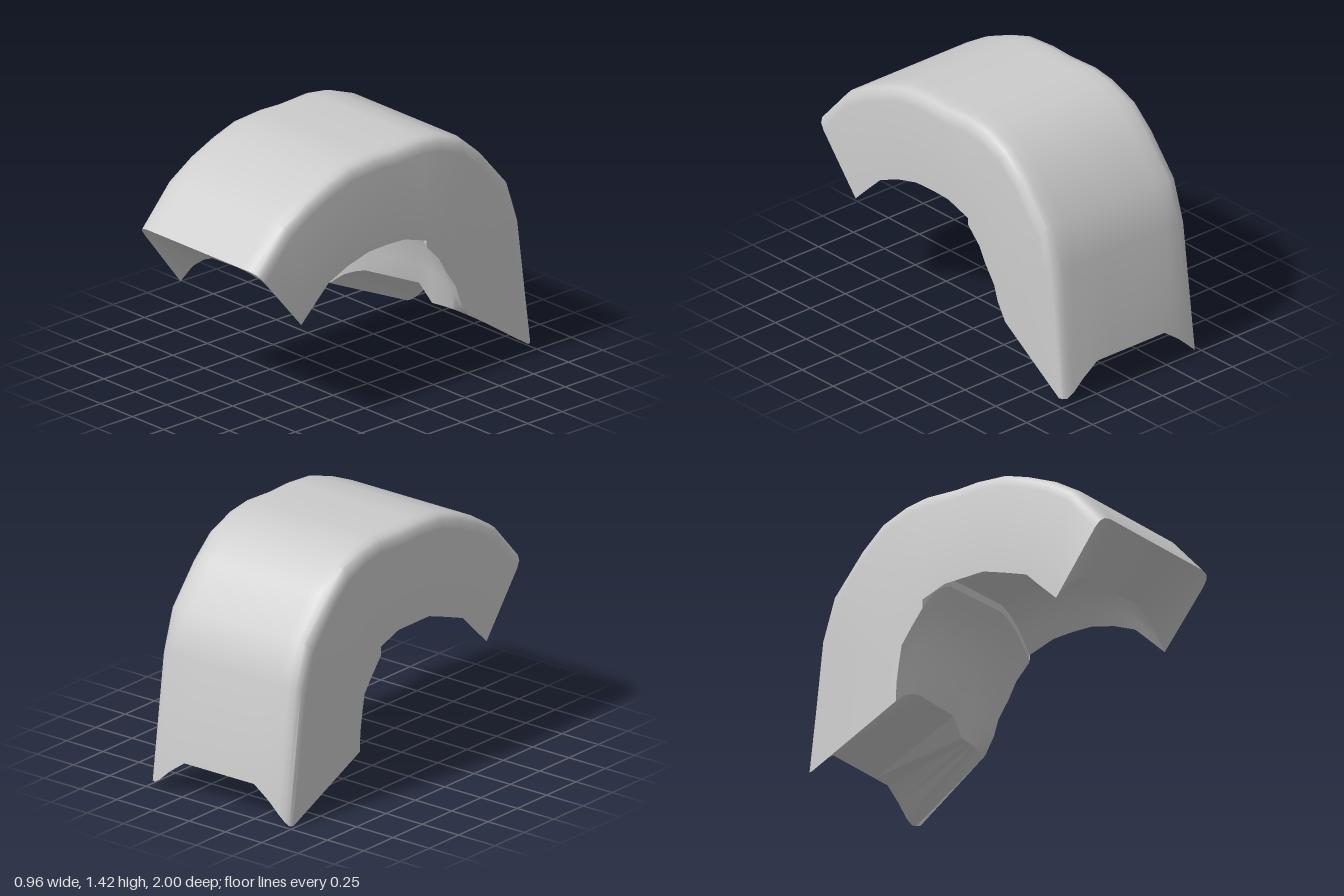
import * as THREE from 'three';
import { toCreasedNormals } from 'three/addons/utils/BufferGeometryUtils.js';

// Stations from front to rear as [z, y]: outer ridge, inner rim at +x, inner rim at -x,
// then how far the hollow rises between the rims
const STATIONS = [
  [[1, 0.97], [0.69, 0.6], [0.69, 0.565], 0.2],
  [[0.8, 1.19], [0.57, 0.715], [0.57, 0.68], 0.21],
  [[0.64, 1.29], [0.49, 0.79], [0.49, 0.76], 0.21],
  [[0.48, 1.36], [0.35, 0.85], [0.35, 0.81], 0.21],
  [[0.33, 1.41], [0.2, 0.89], [0.2, 0.86], 0.21],
  [[0.14, 1.425], [0.06, 0.895], [0.06, 0.86], 0.21],
  [[0, 1.42], [-0.06, 0.89], [-0.06, 0.86], 0.21],
  [[-0.2, 1.43], [-0.22, 0.84], [-0.21, 0.81], 0.21],
  [[-0.34, 1.41], [-0.22, 0.8], [-0.21, 0.76], 0.21],
  [[-0.5, 1.35], [-0.31, 0.71], [-0.29, 0.66], 0.21],
  [[-0.64, 1.23], [-0.36, 0.62], [-0.35, 0.58], 0.2],
  [[-0.83, 1.01], [-0.43, 0.52], [-0.37, 0.47], 0.17],
  [[-0.91, 0.77], [-0.46, 0.43], [-0.385, 0.37], 0.14],
  [[-0.995, 0], [-0.52, 0.33], [-0.39, 0.26], 0.12],
];

// Half cross-section: [outer x, rounding depth, inner x, hollow amount]
const HALF = [
  [0.48, 0.08, 0.48, 0],
  [0.472, 0.035, 0.43, 0.3],
  [0.45, 0.01, 0.38, 0.58],
  [0.41, 0, 0.34, 0.72],
  [0.34, 0, 0.29, 0.88],
  [0.24, 0, 0.23, 1],
];
const SECTION = [
  ...HALF.map(([x, d, xi, h]) => [-x, d, -xi, h]),
  [0, 0, 0, 1],
  [0.13, 0, 0.14, 1],
  ...[...HALF].reverse(),
];

// Closed ring of one station: outer skin from -x to +x, then the hollow back
function makeRing([ridge, rimR, rimL, lift], isRear) {
  const skin = [], hollow = [];
  for (const [x, depth, xi, h] of SECTION) {
    const rim = new THREE.Vector2(...rimL).lerp(new THREE.Vector2(...rimR), xi / 0.96 + 0.5);
    const top = new THREE.Vector2(...ridge);
    if (isRear) {
      // arched lower edge, with the inner rim notched towards +x
      const rise = Math.min(0.2, (0.48 - Math.abs(x)) * 0.92);
      top.x += depth * 0.5;
      top.y += Math.max(rise, x > 0 ? 0.04 : 0.005);
      rim.y += xi > 0.2 ? 0.02 * h : lift * h;
    } else {
      top.addScaledVector(rim.clone().sub(top).normalize(), depth);
      rim.y += lift * h;
    }
    skin.push([x, top.y, top.x]);
    hollow.push([xi, rim.y, rim.x]);
  }
  return [...skin, ...hollow.reverse()];
}

export function createModel() {
  const rings = STATIONS.map((s, i) => makeRing(s, i === STATIONS.length - 1));
  const n = rings[0].length;
  const positions = [];
  const quad = (a, b, c, d) => positions.push(...a, ...b, ...c, ...a, ...c, ...d);

  // Skin, sides and hollow between neighbouring stations
  for (let i = 0; i < rings.length - 1; i++) {
    const p = rings[i], q = rings[i + 1];
    for (let j = 0; j < n; j++) {
      const k = (j + 1) % n;
      quad(p[j], p[k], q[k], q[j]);
    }
  }

  // Front and rear end faces
  const front = rings[0], rear = rings[rings.length - 1];
  for (let j = 0; j < SECTION.length - 1; j++) {
    const a = n - 1 - j, b = n - 2 - j;
    quad(front[j], front[a], front[b], front[j + 1]);
    quad(rear[j], rear[j + 1], rear[b], rear[a]);
  }

  const geometry = new THREE.BufferGeometry();
  geometry.setAttribute('position', new THREE.Float32BufferAttribute(positions, 3));
  const material = new THREE.MeshStandardMaterial({ color: 0xcccccc });
  const arch = new THREE.Mesh(toCreasedNormals(geometry, 0.65), material);
  arch.name = 'archedGuard';

  const group = new THREE.Group();
  group.name = 'archedCover';
  group.add(arch);
  return group;
}
